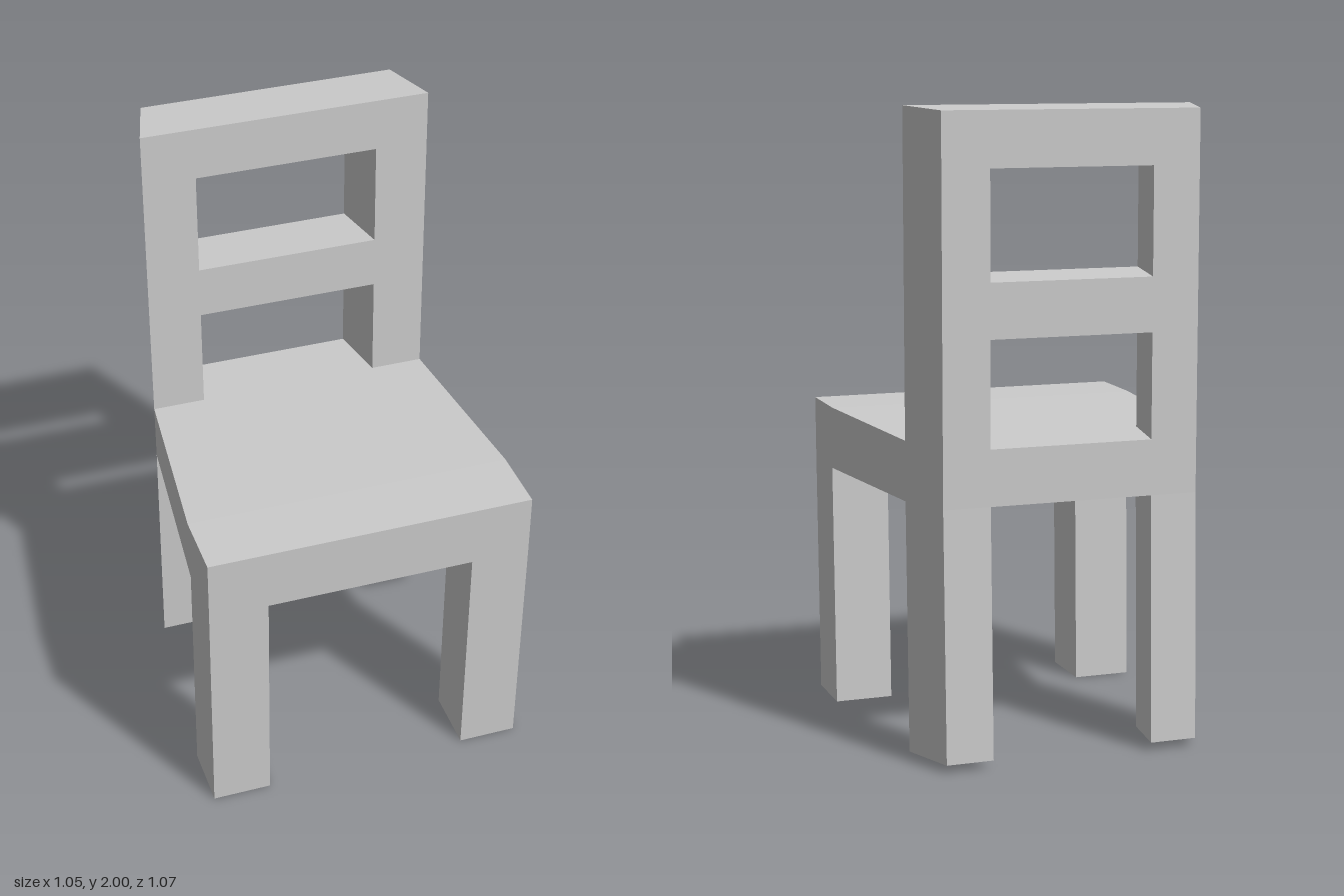
import * as THREE from 'three';

const material = new THREE.MeshStandardMaterial({ color: 0xcccccc, flatShading: true });

// Box whose front and back faces are given separately.
// Each face: x range, y range, and z at its [bottom, top] edges.
function taperedBlock(name, front, back) {
  const geometry = new THREE.BoxGeometry(2, 2, 2);
  const p = geometry.attributes.position;
  for (let i = 0; i < p.count; i++) {
    const face = p.getZ(i) > 0 ? front : back;
    const ix = p.getX(i) > 0 ? 1 : 0;
    const iy = p.getY(i) > 0 ? 1 : 0;
    p.setXYZ(i, face.x[ix], face.y[iy], face.z[iy]);
  }
  geometry.computeVertexNormals();
  const mesh = new THREE.Mesh(geometry, material);
  mesh.name = name;
  return mesh;
}

const face = (x, y, z) => ({ x, y, z });
const centred = (half) => [-half, half];

export function createModel() {
  const chair = new THREE.Group();
  chair.name = 'chair';

  // Seat: straight front edge, tapering middle, narrower back between the posts
  const seatFront = face(centred(0.525), [0.795, 1], [0.535, 0.538]);
  const seatBend = face(centred(0.525), [0.795, 0.998], [0.328, 0.318]);
  const seatRear = face(centred(0.465), [0.802, 0.99], [-0.308, -0.308]);
  const seatBack = face(centred(0.41), [0.81, 0.985], [-0.512, -0.512]);
  chair.add(
    taperedBlock('seatFront', seatFront, seatBend),
    taperedBlock('seat', seatBend, seatRear),
    taperedBlock('seatBack', seatRear, seatBack)
  );

  for (const side of [-1, 1]) {
    const label = side > 0 ? 'left' : 'right';
    const span = (inner, outer) => (side > 0 ? [inner, outer] : [-outer, -inner]);

    // Front leg, leaning slightly backwards towards the floor
    chair.add(taperedBlock(`${label}FrontLeg`,
      face(span(0.335, 0.525), [0, 0.795], [0.515, 0.535]),
      face(span(0.335, 0.525), [0, 0.795], [0.308, 0.328])));

    // Back leg, splayed to the rear and narrower behind
    chair.add(taperedBlock(`${label}BackLeg`,
      face(span(0.295, 0.465), [0.015, 0.802], [-0.33, -0.308]),
      face(span(0.26, 0.41), [0.027, 0.81], [-0.535, -0.512])));

    // Backrest post above the seat
    chair.add(taperedBlock(`${label}BackPost`,
      face(span(0.295, 0.465), [0.99, 2], [-0.308, -0.308]),
      face(span(0.26, 0.41), [0.985, 1.99], [-0.512, -0.512])));
  }

  // Backrest rails between the posts
  for (const [name, bottom, top] of [['middleRail', 1.325, 1.495], ['topRail', 1.83, 2]]) {
    chair.add(taperedBlock(name,
      face(centred(0.295), [bottom, top], [-0.308, -0.308]),
      face(centred(0.26), [bottom - 0.01, top - 0.01], [-0.512, -0.512])));
  }

  return chair;
}
